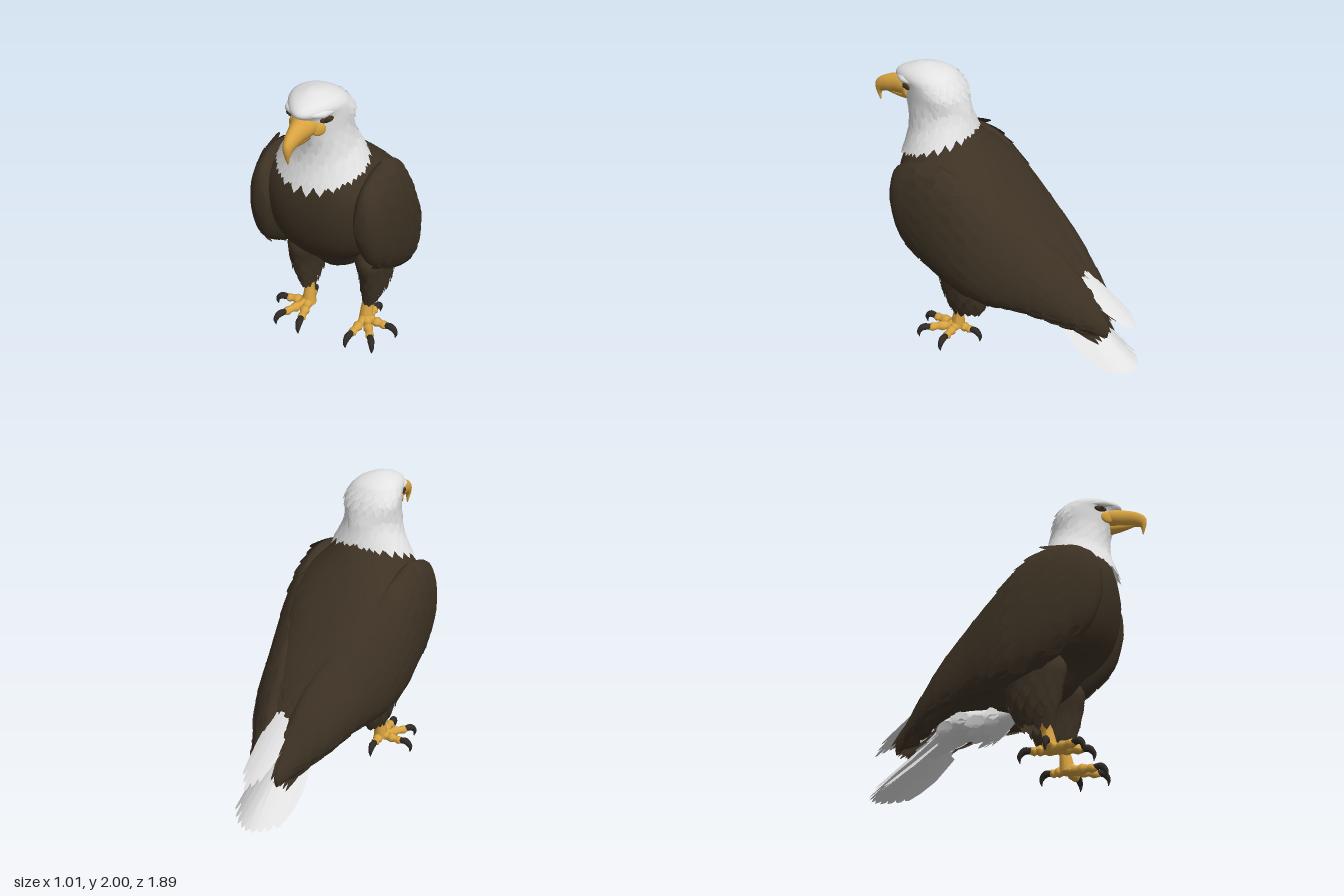
import * as THREE from 'three';
import { mergeGeometries } from 'three/addons/utils/BufferGeometryUtils.js';

const V = (x, y, z) => new THREE.Vector3(x, y, z);
const mat = (name, color) => {
  const m = new THREE.MeshStandardMaterial({ color, side: THREE.DoubleSide });
  m.name = name;
  return m;
};

// Surface through cross-sections [cx, z1, y1, z2, y2, halfWidth, lean, taper, squareness]; t runs along, a around.
function surface(sections) {
  const n = sections.length - 1;
  return (t, a) => {
    const u = THREE.MathUtils.clamp(t, 0, 1) * n, i = Math.min(Math.floor(u), n - 1), f = u - i;
    const at = k => sections[THREE.MathUtils.clamp(k, 0, n)];
    const v = k => {
      const [p0, p1, p2, p3] = [i - 1, i, i + 1, i + 2].map(j => at(j)[k] || 0);
      return p1 + 0.5 * f * (p2 - p0 + f * (2 * p0 - 5 * p1 + 4 * p2 - p3 + f * (3 * (p1 - p2) + p3 - p0)));
    };
    const swell = 1 + v(8) * Math.sin(2 * a) ** 2, s = Math.sin(a) * swell, c = Math.cos(a) * swell;
    return V(v(0) + v(5) * c * (1 - v(7) * s) - v(6) * s,
      (v(2) + v(4)) / 2 + (v(2) - v(4)) / 2 * s,
      (v(1) + v(3)) / 2 + (v(1) - v(3)) / 2 * s);
  };
}

// Closed smooth skin over a surface
function loft(surf, rows = 28, cols = 28) {
  const pos = [], idx = [];
  for (let r = 0; r <= rows; r++)
    for (let c = 0; c < cols; c++) pos.push(...surf(r / rows, c / cols * Math.PI * 2).toArray());
  for (let r = 0; r < rows; r++)
    for (let c = 0; c < cols; c++) {
      const a = r * cols + c, b = r * cols + (c + 1) % cols;
      idx.push(a, b, a + cols, b, b + cols, a + cols);
    }
  for (const r of [0, rows]) {
    const centre = pos.length / 3;
    pos.push(...surf(r / rows, 0).add(surf(r / rows, Math.PI)).multiplyScalar(0.5).toArray());
    for (let c = 0; c < cols; c++) {
      const a = r * cols + c, b = r * cols + (c + 1) % cols;
      idx.push(...(r ? [centre, a, b] : [centre, b, a]));
    }
  }
  // Turn the faces outward
  let volume = 0;
  const p = i => V(pos[i * 3], pos[i * 3 + 1], pos[i * 3 + 2]);
  for (let i = 0; i < idx.length; i += 3) volume += p(idx[i]).dot(p(idx[i + 1]).cross(p(idx[i + 2])));
  if (volume < 0) idx.reverse();
  const g = new THREE.BufferGeometry();
  g.setAttribute('position', new THREE.Float32BufferAttribute(pos, 3));
  g.setIndex(idx);
  g.computeVertexNormals();
  return g;
}

// Thin cambered feather from base to tip
function feather(base, tip, normal, width, blunt = 0.3) {
  const h = width / 2, w = h * (0.55 + 0.6 * blunt), y = tip.clone().sub(base), len = y.length();
  y.normalize();
  const z = normal.clone().addScaledVector(y, -normal.dot(y)).normalize();
  const x = y.clone().cross(z);
  const g = new THREE.ShapeGeometry(new THREE.Shape([[-h * 0.6, 0], [h * 0.6, 0], [h, len * 0.45], [w, len * 0.75],
    [h * blunt, len * 0.96], [0, len], [-h * blunt, len * 0.96], [-w, len * 0.75], [-h, len * 0.45]]
    .map(q => new THREE.Vector2(...q))));
  const p = g.attributes.position;
  for (let i = 0; i < p.count; i++) p.setZ(i, -0.15 * p.getX(i) ** 2 / h);
  g.applyMatrix4(new THREE.Matrix4().makeBasis(x, y, z).setPosition(base));
  g.computeVertexNormals();
  return g;
}

// Staggered rows of feathers lying on a surface
function plumage(surf, [t0, t1], [a0, a1], rows, cols, len, width, lift, blunt) {
  const out = [];
  for (let r = 0; r < rows; r++)
    for (let c = 0; c < cols; c++) {
      const t = t0 + (t1 - t0) * r / (rows - 1);
      const a = a0 + (a1 - a0) * (c + 0.3 + (r % 2) * 0.5) / cols;
      const p = surf(t, a), dir = surf(t + 0.02, a).sub(surf(t - 0.02, a)).normalize();
      const n = dir.clone().cross(surf(t, a + 0.05).sub(p)).normalize();
      if (n.dot(p.clone().sub(surf(t, a + Math.PI))) < 0) n.negate();
      const l = len * (0.8 + 0.4 * Math.abs(Math.sin(r * 5.1 + c * 2.7)));
      const base = p.clone().addScaledVector(n, 0.003);
      out.push(feather(base, base.clone().addScaledVector(dir, l).addScaledVector(n, lift), n, width, blunt));
    }
  return mergeGeometries(out);
}

// Tube whose radius follows a list
function taperTube(points, radii, seg = 12, sides = 10) {
  const curve = new THREE.CatmullRomCurve3(points.map(q => V(...q)));
  const g = new THREE.TubeGeometry(curve, seg, 1, sides), p = g.attributes.position, v = V();
  for (let i = 0; i < p.count; i++) {
    const t = Math.floor(i / (sides + 1)) / seg, u = t * (radii.length - 1), k = Math.min(Math.floor(u), radii.length - 2);
    const r = THREE.MathUtils.lerp(radii[k], radii[k + 1], u - k), c = curve.getPointAt(t);
    v.fromBufferAttribute(p, i).sub(c).multiplyScalar(r).add(c);
    p.setXYZ(i, v.x, v.y, v.z);
  }
  g.computeVertexNormals();
  return g;
}

function mirrored(g) {
  const m = g.clone().scale(-1, 1, 1);
  m.index.array.reverse();
  m.computeVertexNormals();
  return m;
}

export function createModel() {
  const model = new THREE.Group();
  const brown = mat('brown plumage', 0x3d3224), white = mat('white plumage', 0xe2e2e2);
  const yellow = mat('yellow skin', 0xd8a340), black = mat('dark claw', 0x2f2a25), iris = mat('eye brown', 0x46351f);
  const add = (name, g, m) => {
    const mesh = new THREE.Mesh(g, m);
    mesh.name = name;
    model.add(mesh);
  };
  const pair = (name, g, m) => {
    add('left ' + name, g, m);
    add('right ' + name, mirrored(g), m);
  };
  const PI = Math.PI;

  // Body, sliced from neck to vent
  const body = surface([
    [0, 0.62, 1.66, 0.33, 1.66, 0.14, 0, 0, 0], [0, 0.68, 1.52, 0.21, 1.54, 0.235, 0, 0, 0], [0, 0.72, 1.37, 0.04, 1.37, 0.37, 0, 0, 0.07],
    [0, 0.73, 1.2, -0.1, 1.22, 0.39, 0, 0, 0.1], [0, 0.69, 1.0, -0.27, 1.02, 0.38, 0, 0, 0.1], [0, 0.61, 0.85, -0.4, 0.87, 0.34, 0, 0, 0.08],
    [0, 0.49, 0.72, -0.5, 0.73, 0.27], [0, 0.38, 0.6, -0.53, 0.6, 0.22], [0, 0.16, 0.48, -0.45, 0.5, 0.13]]);
  add('body', loft(body, 28, 36), brown);
  add('back feathers', plumage(body, [0.14, 0.72], [PI * 1.1, PI * 1.9], 10, 8, 0.15, 0.12, -0.004), brown);

  // Folded wings, sliced from shoulder to tip
  const wing = surface([
    [0.335, 0.69, 1.28, 0.69, 1.1, 0.04, 0], [0.35, 0.63, 1.42, 0.61, 0.89, 0.09, 0.01], [0.355, 0.42, 1.48, 0.42, 0.72, 0.13, 0.01],
    [0.36, 0.2, 1.4, 0.2, 0.6, 0.14, 0.025], [0.32, 0, 1.24, 0, 0.53, 0.14, 0.04], [0.25, -0.2, 1.07, -0.2, 0.49, 0.14, 0.05],
    [0.185, -0.4, 0.87, -0.4, 0.42, 0.135, 0.05], [0.13, -0.59, 0.62, -0.58, 0.33, 0.08, 0.03], [0.1, -0.75, 0.36, -0.74, 0.27, 0.015, 0]]);
  pair('wing', loft(wing, 32, 24), brown);
  pair('wing coverts', plumage(wing, [0.16, 0.86], [-1.35, 1.3], 12, 8, 0.14, 0.115, -0.006), brown);
  const primaries = [];
  for (let i = 0; i < 6; i++)
    primaries.push(feather(V(0.16 - i * 0.01, 0.44 + i * 0.035, -0.42 - i * 0.02),
      V(0.14 - i * 0.01, 0.23 + i * 0.022, -0.7 - i * 0.017), V(1, 0.35, 0), 0.08, 0.15));
  pair('wing tip feathers', mergeGeometries(primaries), brown);

  // Head and neck, sliced from crown to collar
  const head = surface([
    [0, 0.62, 2.0, 0.55, 2.0, 0.03, 0, 0], [0, 0.74, 1.96, 0.46, 1.98, 0.112, 0, 0.2], [0, 0.785, 1.915, 0.39, 1.945, 0.153, 0, 0.3],
    [0, 0.745, 1.865, 0.35, 1.9, 0.172, 0, 0.33], [0, 0.73, 1.8, 0.32, 1.85, 0.18, 0, 0.3], [0, 0.705, 1.73, 0.305, 1.8, 0.183, 0, 0.15],
    [0, 0.69, 1.65, 0.295, 1.76, 0.19, 0, 0], [0, 0.695, 1.57, 0.287, 1.71, 0.208, 0, 0], [0, 0.712, 1.49, 0.275, 1.66, 0.237, 0, 0]]);
  add('head', loft(head, 32, 32), white);
  add('neck feathers', plumage(head, [0.6, 0.86], [0, 2 * PI], 4, 18, 0.1, 0.06, 0.006, 0.08), white);
  add('nape feathers', plumage(head, [0.3, 0.56], [PI * 1.05, PI * 1.95], 5, 10, 0.075, 0.05, -0.005, 0.15), white);
  add('collar feathers', plumage(head, [0.9, 0.98], [0, 2 * PI], 3, 22, 0.115, 0.08, 0.01, 0.05), white);

  // Hooked beak with the gape and eyes
  add('beak', loft(surface([
    [0, 0.65, 1.895, 0.65, 1.755, 0.1], [0, 0.72, 1.9, 0.72, 1.76, 0.08], [0, 0.8, 1.89, 0.79, 1.76, 0.056],
    [0, 0.88, 1.865, 0.85, 1.76, 0.042], [0, 0.938, 1.825, 0.885, 1.755, 0.03], [0, 0.948, 1.77, 0.908, 1.742, 0.02],
    [0, 0.924, 1.69, 0.917, 1.69, 0.004]]), 24, 20), yellow);
  add('lower beak', taperTube([[0, 1.765, 0.66], [0, 1.762, 0.78], [0, 1.765, 0.87]], [0.045, 0.03, 0.008]), yellow);
  pair('gape', new THREE.SphereGeometry(1, 16, 10).scale(0.014, 0.04, 0.045).rotateY(-0.75).translate(0.083, 1.81, 0.697), yellow);
  pair('eye socket', new THREE.SphereGeometry(1, 16, 10).scale(0.012, 0.021, 0.045).rotateY(-0.62).translate(0.118, 1.866, 0.662), iris);
  pair('pupil', new THREE.SphereGeometry(0.015, 12, 10).translate(0.116, 1.868, 0.672), black);
  pair('brow', taperTube([[0.045, 1.915, 0.755], [0.1, 1.908, 0.695], [0.146, 1.9, 0.6]], [0.008, 0.024, 0.005]), white);

  // Feathered thighs
  const thigh = surface([
    [0.22, 0.33, 0.84, 0.05, 0.84, 0.06], [0.24, 0.43, 0.7, 0.02, 0.7, 0.12], [0.25, 0.405, 0.56, 0.04, 0.56, 0.105],
    [0.245, 0.375, 0.45, 0.06, 0.45, 0.09], [0.235, 0.35, 0.355, 0.11, 0.355, 0.06]]);
  pair('thigh', loft(thigh, 16, 20), brown);
  pair('thigh feathers', plumage(thigh, [0.4, 0.93], [0, 2 * PI], 5, 12, 0.085, 0.06, 0.006, 0.1), brown);

  // Shanks, toes and talons
  pair('shank', taperTube([[0.23, 0.4, 0.27], [0.215, 0.28, 0.295], [0.215, 0.16, 0.31]], [0.045, 0.036, 0.052]), yellow);
  const toes = [], claws = [];
  for (const [x, z] of [[0.185, 0.5], [0.32, 0.485], [0.375, 0.33], [0.235, 0.195]]) {
    const d = V(x - 0.215, 0, z - 0.31), along = (f, y) => [0.215 + d.x * f, y, 0.31 + d.z * f];
    const step = 0.06 / d.length();
    toes.push(taperTube([along(0, 0.18), along(0.35, 0.165), along(0.7, 0.165), along(1.06, 0.155)],
      [0.04, 0.036, 0.026, 0.035, 0.024, 0.03, 0.012], 18));
    claws.push(taperTube([along(0.94, 0.165), along(1 + step * 0.65, 0.165), along(1 + step * 1.15, 0.13), along(1 + step * 1.1, 0.088)],
      [0.02, 0.024, 0.016, 0.002]));
  }
  toes.push(new THREE.SphereGeometry(0.05, 14, 10).scale(1, 0.75, 1).translate(0.215, 0.17, 0.31));
  pair('toes', mergeGeometries(toes), yellow);
  pair('talons', mergeGeometries(claws), black);

  // White feathers under the tail
  const vent = surface([
    [0, 0.04, 0.54, 0.04, 0.49, 0.06], [0, -0.05, 0.55, -0.05, 0.41, 0.13], [0, -0.17, 0.55, -0.16, 0.35, 0.165],
    [0, -0.32, 0.53, -0.31, 0.37, 0.165], [0, -0.46, 0.47, -0.46, 0.31, 0.155], [0, -0.6, 0.36, -0.6, 0.26, 0.14]]);
  add('under tail', loft(vent, 20, 20), white);
  add('under tail feathers', plumage(vent, [0.2, 0.8], [PI * 0.95, PI * 2.05], 5, 7, 0.11, 0.085, 0.004, 0.2), white);

  // Cupped tail fan below the wing tips, and the narrow layer above them
  const fan = [], top = [];
  for (let i = -4; i <= 4; i++) {
    const k = i / 4, k2 = k * k;
    for (const layer of [0, 1])
      fan.push(feather(V(k * 0.13, 0.44 - layer * 0.07 - k2 * 0.06, -0.45),
        V(k * 0.17, 0.005 + k2 * 0.035 + layer * 0.01, -0.945 + k2 * 0.1 + layer * 0.06),
        V(k * 0.8, 0.75, -0.65), 0.1, 0.4));
  }
  for (let i = -2; i <= 2; i++)
    for (const layer of [0, 1])
      top.push(feather(V(i * 0.033, 0.69 - Math.abs(i) * 0.015 - layer * 0.05, -0.53),
        V(i * 0.032, 0.31 + Math.abs(i) * 0.03 + layer * 0.03, -0.94 + Math.abs(i) * 0.035 + layer * 0.06),
        V(i * 0.1, 0.75, -0.65), 0.06, 0.4));
  add('tail fan', mergeGeometries(fan), white);
  add('upper tail', mergeGeometries(top), white);
  return model;
}
